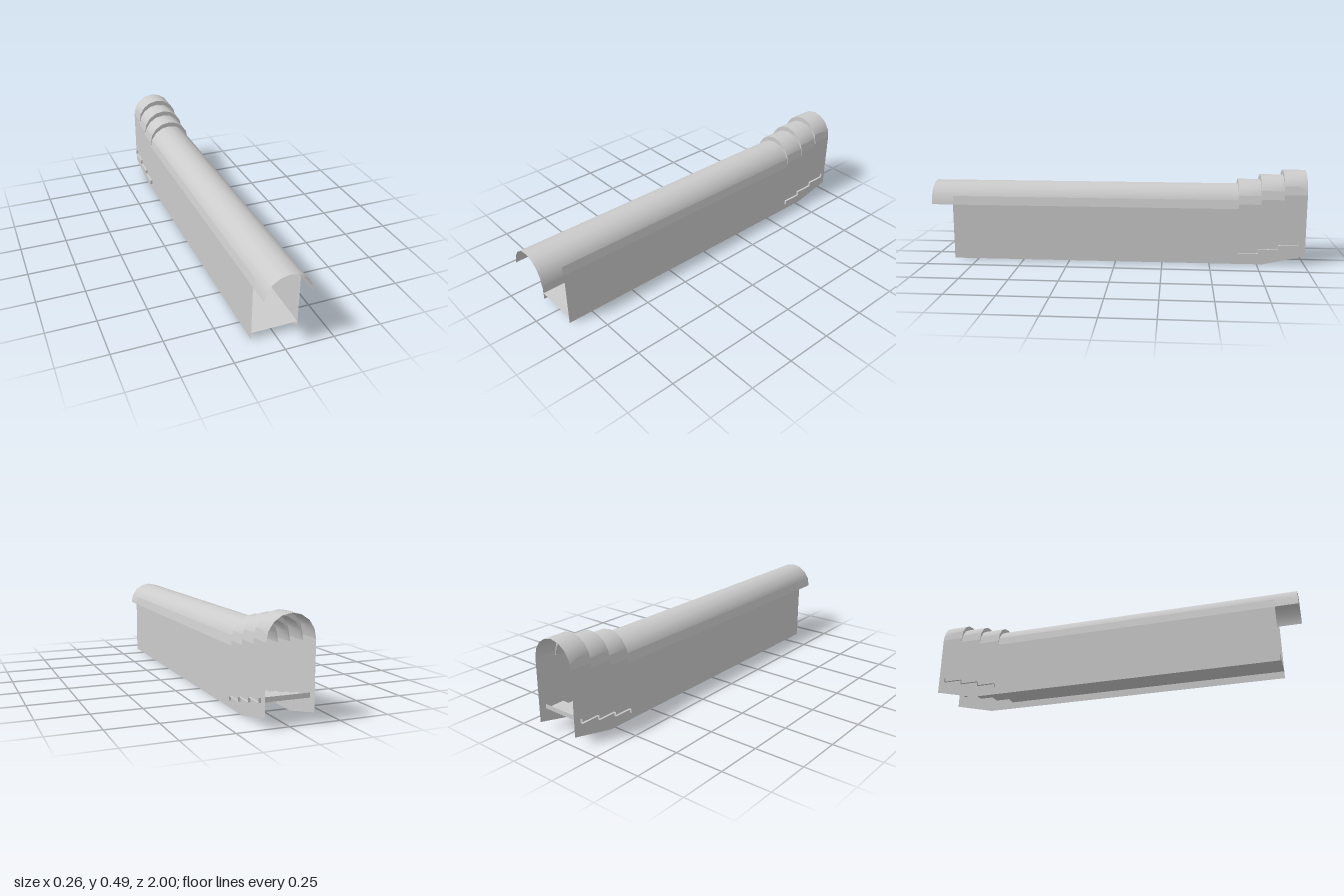
import * as THREE from 'three';
import { mergeGeometries } from 'three/addons/utils/BufferGeometryUtils.js';

const smooth = new THREE.MeshStandardMaterial({ color: 0xcccccc, side: THREE.DoubleSide });
const flat = new THREE.MeshStandardMaterial({ color: 0xcccccc, side: THREE.DoubleSide, flatShading: true });

const R = 0.118;          // vault radius and half width of the corridor
const SEGMENTS = 8;       // sides of the half-round vault
const FLOOR_Y = 0.038;

// Bays of the vault from front to back: [front z, back z, springing height]
const bays = [
  [1, -0.648, 0.297],
  [-0.648, -0.765, 0.322],
  [-0.765, -0.883, 0.348],
  [-0.883, -1, 0.374],
];

// Sheet between two rows of points; the strips keep hard edges between them
function strip(rowA, rowB) {
  const n = rowA.length;
  const index = [];
  for (let j = 0; j < n - 1; j++) {
    index.push(j, n + j + 1, j + 1, j, n + j, n + j + 1);
  }
  const geometry = new THREE.BufferGeometry();
  geometry.setAttribute('position', new THREE.Float32BufferAttribute([...rowA, ...rowB].flat(), 3));
  geometry.setIndex(index);
  geometry.computeVertexNormals();
  return geometry;
}

function loft(rows) {
  return rows.slice(1).map((row, i) => strip(rows[i], row));
}

function addMesh(group, name, strips, material) {
  const mesh = new THREE.Mesh(mergeGeometries(strips), material);
  mesh.name = name;
  group.add(mesh);
}

// Half-round row of the vault
function arch(z, springY) {
  return Array.from({ length: SEGMENTS + 1 }, (_, j) => {
    const a = (j / SEGMENTS) * Math.PI;
    return [R * Math.cos(a), springY + R * Math.sin(a), z];
  });
}

// Upright row of a wall: foot, springing line, and lip following the first vault facet
function wallRow(side, z, springY) {
  const foot = z < -0.78 ? (0.05 * (-0.78 - z)) / 0.22 : 0;
  const a = Math.PI / SEGMENTS;
  const t = z === -1 ? 0.6 : 1;
  const x = R + 0.0005;
  const row = [
    [side * x, foot, z],
    [side * x, springY, z],
    [side * (x - t * R * (1 - Math.cos(a))), springY + t * R * Math.sin(a), z],
  ];
  return side > 0 ? row : row.reverse();
}

export function createModel() {
  const group = new THREE.Group();
  group.name = 'corridor';

  // Vaulted ceiling rising in steps, with a riser face at every step
  const vaultRows = bays.flatMap(([z0, z1, y]) => [arch(z0, y), arch(z1, y)]);
  addMesh(group, 'vaultedCeiling', loft(vaultRows), smooth);

  // Side walls, stepped at the top like the vault and cut off obliquely at the rear foot
  for (const [side, name] of [[1, 'leftWall'], [-1, 'rightWall']]) {
    const strips = bays.flatMap(([z0, z1, y]) => {
      const stops = [Math.min(z0, 0.883), z1];
      for (const extra of [-0.78, -0.95]) {
        if (extra < z0 && extra > z1) stops.splice(1, 0, extra);
      }
      return loft(stops.map((z) => wallRow(side, z, y)));
    });
    addMesh(group, name, strips, flat);
  }

  // Floor
  const line = (halfWidth, y, z) => [[halfWidth, y, z], [-halfWidth, y, z]];
  addMesh(group, 'floor', loft([line(R, FLOOR_Y, 0.883), line(R, FLOOR_Y, -0.648)]), flat);

  // Thin folded stairs reaching slightly through both walls
  const rise = 0.023, run = 0.104, halfStair = 0.13;
  const stairRows = [];
  for (let i = 0; i < 4; i++) {
    const z = -0.65 - i * run;
    stairRows.push(line(halfStair, FLOOR_Y + i * rise, z), line(halfStair, FLOOR_Y + (i + 1) * rise, z));
  }
  addMesh(group, 'stairs', loft(stairRows), flat);

  return group;
}
